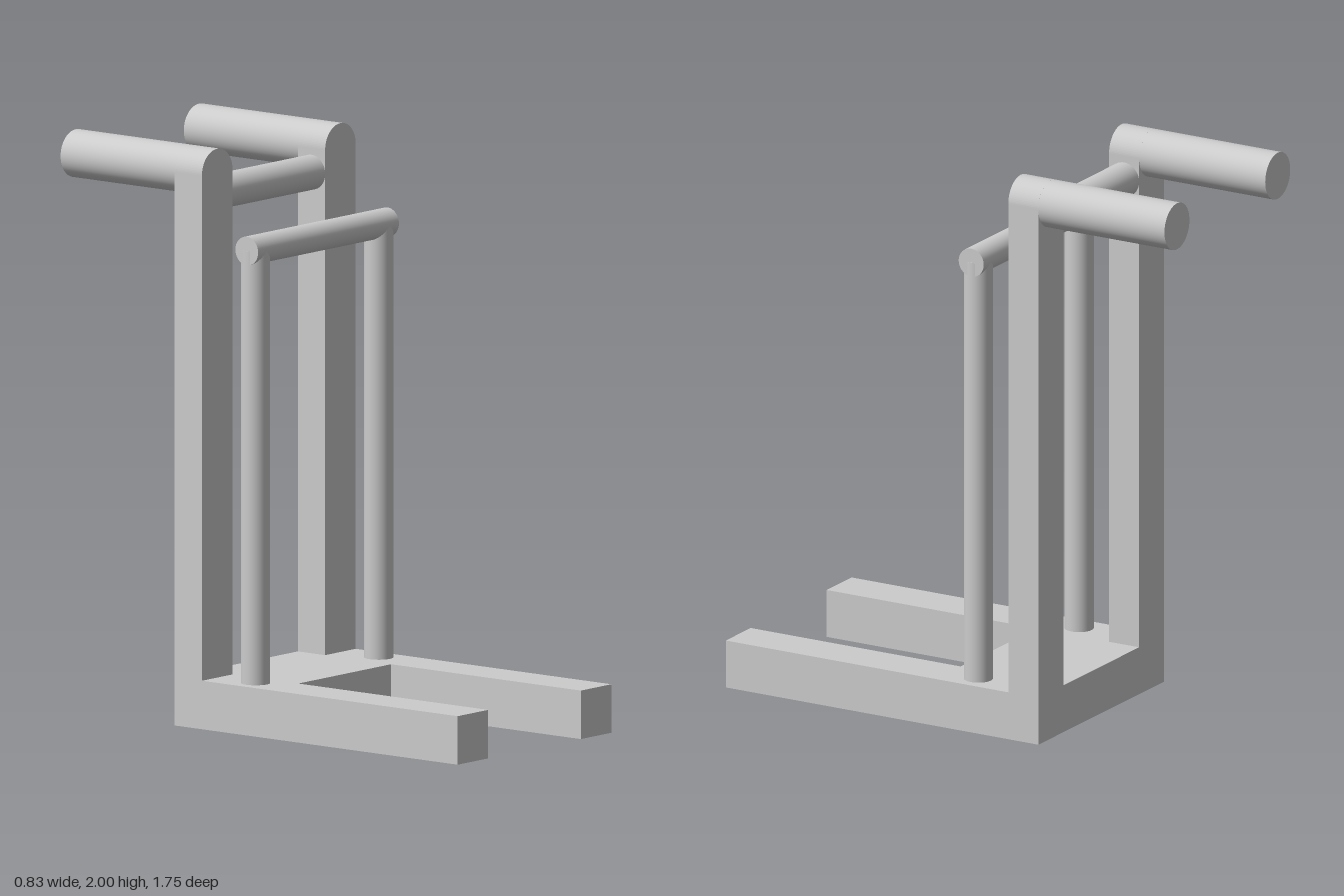
import * as THREE from 'three';

const material = new THREE.MeshStandardMaterial({ color: 0xcccccc });

export function createModel() {
  const model = new THREE.Group();

  const add = (name, geometry, x = 0, y = 0, z = 0) => {
    const mesh = new THREE.Mesh(geometry, material);
    mesh.name = name;
    mesh.position.set(x, y, z);
    model.add(mesh);
    return mesh;
  };
  const rod = (radius, length) => new THREE.CylinderGeometry(radius, radius, length, 48);

  const inner = 0.25, outer = 0.415;      // x limits of each side rail
  const railX = (inner + outer) / 2, railR = (outer - inner) / 2;
  const back = -0.372, front = 0.875, postFace = -0.252;
  const baseH = 0.168, topY = 2 - railR;

  // U-shaped base, extruded upwards
  const plan = new THREE.Shape([
    [-outer, -front], [-inner, -front], [-inner, -0.038], [inner, -0.038],
    [inner, -front], [outer, -front], [outer, -back], [-outer, -back],
  ].map(([x, y]) => new THREE.Vector2(x, y)));
  const base = new THREE.ExtrudeGeometry(plan, { depth: baseH, bevelEnabled: false });
  add('base', base.rotateX(-Math.PI / 2));

  // Round-topped upright profile
  const upright = new THREE.Shape();
  upright.moveTo(-railR, baseH);
  upright.lineTo(railR, baseH);
  upright.lineTo(railR, topY);
  upright.absarc(0, topY, railR, 0, Math.PI, false);
  upright.closePath();

  for (const [side, s] of [['left', 1], ['right', -1]]) {
    add(side + 'Upright', new THREE.ExtrudeGeometry(upright, {
      depth: postFace - back, bevelEnabled: false, curveSegments: 24,
    }), s * railX, 0, back);

    // Handle pointing backwards from the upright
    const handleLength = front + back;
    add(side + 'Handle', rod(railR, handleLength).rotateX(Math.PI / 2),
      s * railX, topY, back - handleLength / 2);

    // Slim round post standing on the base
    add(side + 'FrontPost', rod(0.05, 1.67 - baseH), s * railX, (1.67 + baseH) / 2, -0.083);
  }

  // Horizontal bars
  add('rearCrossbar', rod(0.06, 2 * inner).rotateZ(Math.PI / 2), 0, 1.835, -0.312);
  add('frontCrossbar', rod(0.05, 0.76).rotateZ(Math.PI / 2), 0, 1.67, -0.083);

  return model;
}
